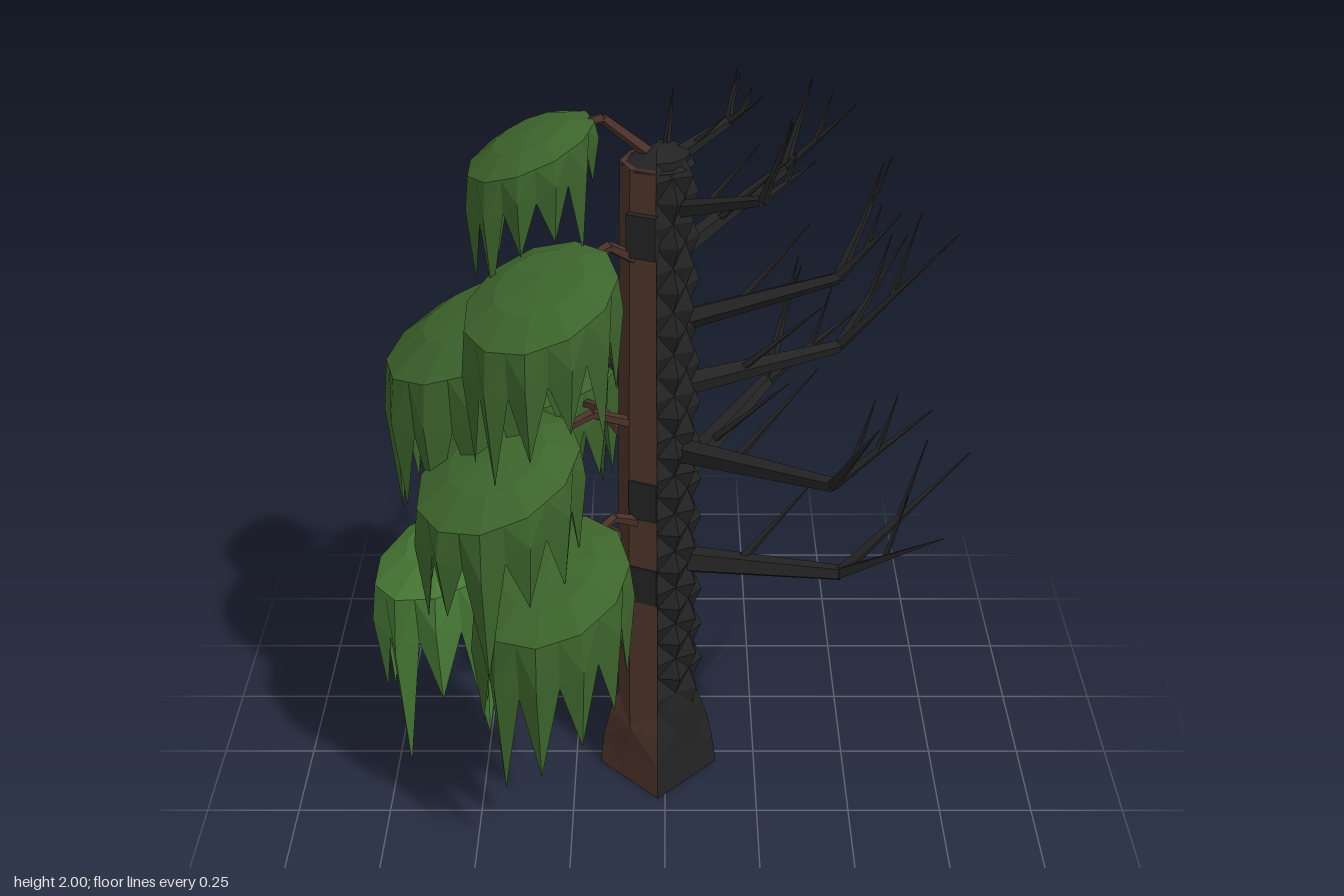
import * as THREE from 'three';

const mat = (name, color) => {
  const m = new THREE.MeshStandardMaterial({ color, flatShading: true, side: THREE.DoubleSide });
  m.name = name;
  return m;
};
const V = (x, y, z) => new THREE.Vector3(x, y, z);
const CX = -0.02, CZ = 0.04; // trunk axis

let seed = 7;
const rnd = () => (seed = (seed * 16807) % 2147483647) / 2147483647;

function soup(tris) {
  const g = new THREE.BufferGeometry().setFromPoints(tris);
  g.computeVertexNormals();
  return g;
}

// Half of the trunk: rings of points swept through 180 degrees
function halfShell(rings, from, n, radiusAt) {
  const p = (i, j) => {
    const a = from + (Math.PI * j) / n, r = radiusAt(rings[i], i, j, a);
    return V(CX + Math.cos(a) * r, rings[i][0], CZ + Math.sin(a) * r);
  };
  const t = [];
  for (let i = 0; i < rings.length - 1; i++) {
    for (let j = 0; j < n; j++) {
      const a = p(i, j), b = p(i, j + 1), c = p(i + 1, j), d = p(i + 1, j + 1);
      if ((i + j) % 2) t.push(a, c, b, b, c, d);
      else t.push(a, c, d, a, d, b);
    }
  }
  return soup(t);
}

// The foot spreads into a square set corner-on; the trunk above is round
const footRadius = (r, a) => {
  const square = r / (Math.abs(Math.cos(a)) + Math.abs(Math.sin(a)));
  return Math.max(Math.min(r, 0.108), square);
};

// Tapered limb piece between two points
function limb(a, b, r0, r1, sides = 5) {
  const d = b.clone().sub(a);
  const g = new THREE.CylinderGeometry(r1, r0, d.length(), sides);
  g.applyQuaternion(new THREE.Quaternion().setFromUnitVectors(V(0, 1, 0), d.normalize()));
  g.translate((a.x + b.x) / 2, (a.y + b.y) / 2, (a.z + b.z) / 2);
  return g;
}

// Drooping foliage: a shallow tilted dome with a pleated fringe of hanging points
function foliage(x, y, z, r, len, n) {
  const out = V(x - CX, 0, z - CZ).normalize();
  const at = (a, k, lift = 0) => {
    const dx = Math.cos(a) * r * k, dz = Math.sin(a) * r * k;
    return V(x + dx, y - 0.39 * (dx * out.x + dz * out.z) + lift, z + dz);
  };
  const step = (Math.PI * 2) / n, dome = [], fringe = [];
  const top = at(0, 0, r * 0.28);
  const lens = [];
  for (let i = 0; i < n; i++) {
    const outer = Math.cos(i * step) * out.x + Math.sin(i * step) * out.z;
    lens.push(len * (0.9 + 0.1 * outer) * (0.55 + 0.5 * rnd()));
  }
  for (let i = 0; i < n; i++) {
    const a = i * step, a1 = a + step, k = Math.cos(step / 2);
    const m0 = at(a, 0.6, r * 0.2), m1 = at(a1, 0.6, r * 0.2);
    const v = at(a, 1), v1 = at(a1, 1);
    dome.push(top, m1, m0, m0, m1, v1, m0, v1, v);
    const L = lens[i], La = lens[(i + n - 1) % n], Lb = lens[(i + 1) % n];
    const p = at(a - step / 2, k), q = at(a + step / 2, k);
    const ridge = at(a, 1.06, -L * 0.3);
    const sp = at(a - step / 2, k * 0.97, -Math.min(L, La) * 0.42);
    const sq = at(a + step / 2, k * 0.97, -Math.min(L, Lb) * 0.42);
    const tip = at(a, 0.95, -L), back = at(a, 0.82, -L * 0.4);
    fringe.push(p, v, ridge, v, q, ridge, p, ridge, sp, q, sq, ridge,
      sp, ridge, tip, ridge, sq, tip, sp, tip, back, back, tip, sq);
  }
  return soup([...dome, ...fringe]);
}

export function createModel() {
  const tree = new THREE.Group();
  tree.name = 'halfBurntTree';
  const char = mat('charcoal', 0x232323);
  const bark = mat('brown bark', 0x4b3229);
  const leafDark = mat('deep green', 0x3d652c);
  const leafLight = mat('bright green', 0x4a7f38);
  const add = (name, geo, m, parent = tree) => {
    const mesh = new THREE.Mesh(geo, m);
    mesh.name = name;
    parent.add(mesh);
    return mesh;
  };

  // Living side of the trunk, with a flared foot
  const foot = [[0, 0], [0, 0.162], [0.1, 0.15], [0.18, 0.133], [0.25, 0.108]];
  add('livingTrunk', halfShell([...foot, [1.0, 0.1], [1.81, 0.086], [1.82, 0]], Math.PI / 2, 4,
    (q, i, j, a) => (i < foot.length ? footRadius(q[1], a) : q[1])), bark);

  // Charred side: plain foot, then rows of jagged scales
  const scales = [];
  for (let i = 1; i <= 27; i++) scales.push([0.25 + i * 0.057, 0.11 - i * 0.0008]);
  const scaleEnd = foot.length + scales.length;
  add('charredTrunk', halfShell([...foot, ...scales, [1.83, 0.08], [1.85, 0]], -Math.PI / 2, 6,
    (q, i, j, a) => {
      if (i < foot.length) return footRadius(q[1], a);
      if (i >= scaleEnd) return q[1];
      return q[1] + ((i + j) % 2 ? 0.012 : -0.011);
    }), char);
  const lid = new THREE.ConeGeometry(0.088, 0.05, 9);
  lid.translate(CX + 0.005, 1.83, CZ);
  add('charredTop', lid, char);

  // Scorched patches lying almost flush on the living bark
  [[0.66, 1], [0.92, 1], [1.65, 1], [0.8, -1], [1.2, -1], [1.53, -1]].forEach(([y, s]) => {
    const g = new THREE.BoxGeometry(0.075, 0.11, 0.044);
    g.translate(0, 0, s * 0.077);
    g.rotateY(-s * 0.39);
    g.translate(CX, y, CZ);
    add('scorchPatch', g, char);
  });

  // Burnt branches: start height, elbow, two forked tips
  const branches = [
    [0.69, [0.45, 0.73, 0.17], [0.77, 1.05, 0.1], [0.68, 0.94, 0.33]],
    [0.9, [0.28, 1.0, -0.37], [0.37, 1.28, -0.58], [0.55, 1.2, -0.45]],
    [1.03, [0.4, 1.12, 0.37], [0.48, 1.37, 0.54], [0.62, 1.33, 0.38]],
    [1.2, [0.45, 1.22, -0.15], [0.63, 1.47, -0.3], [0.72, 1.58, -0.05]],
    [1.38, [0.42, 1.5, 0.03], [0.55, 1.76, -0.1], [0.56, 1.68, 0.06]],
    [1.55, [0.3, 1.67, -0.25], [0.37, 1.87, -0.36], [0.47, 1.85, -0.22]],
    [1.68, [0.22, 1.79, 0.24], [0.28, 2.0, 0.3], [0.34, 1.87, 0.2]],
    [1.8, [0.15, 1.87, -0.05], [0.17, 1.98, -0.1], [0.23, 1.95, 0.0]],
  ];
  branches.forEach(([y, e, t1, t2], i) => {
    const g = new THREE.Group();
    g.name = 'burntBranch' + (i + 1);
    tree.add(g);
    const a = V(CX + 0.02, y, CZ), b = V(...e), size = 1 - i * 0.06;
    add('bough', limb(a, b, 0.04 * size, 0.021 * size), char, g);
    [t1, t2].forEach((t) => {
      const tip = V(...t), mid = b.clone().lerp(tip, 0.45);
      add('fork', limb(b, tip, 0.018 * size, 0.001, 4), char, g);
      const span = tip.distanceTo(b);
      add('twig', limb(mid, mid.clone().add(V(0.15 * span, 0.45 * span, -0.12 * span)), 0.008, 0.0008, 4), char, g);
    });
    // Slanting twig partway along the bough
    const h = a.clone().lerp(b, 0.42), k = a.distanceTo(b);
    const s = i % 2 ? 1 : -1;
    add('sideTwig', limb(h, h.clone().add(V(0.4 * k, 0.43 * k, s * 0.14 * k)), 0.014 * size, 0.0008, 4), char, g);
  });
  add('topSpike', limb(V(0.0, 1.8, 0.0), V(0.02, 1.97, -0.01), 0.012, 0.0008, 4), char);

  // Foliage: x, rim height, z, radius, fringe length, points, colour
  const clumps = [
    [-0.31, 1.865, 0.09, 0.15, 0.33, 11, leafDark],
    [-0.285, 1.58, 0.3, 0.18, 0.4, 11, leafDark],
    [-0.45, 1.395, 0.08, 0.235, 0.44, 12, leafDark],
    [-0.43, 1.24, -0.12, 0.2, 0.42, 11, leafLight],
    [-0.4, 1.135, 0.33, 0.2, 0.44, 11, leafDark],
    [-0.37, 1.0, -0.3, 0.235, 0.5, 12, leafDark],
    [-0.28, 0.845, 0.37, 0.195, 0.46, 11, leafDark],
    [-0.545, 0.77, 0.1, 0.215, 0.58, 11, leafLight],
  ];
  clumps.forEach(([x, y, z, r, len, n, m], i) => {
    add('foliage' + (i + 1), foliage(x, y, z, r, len, n), m);
    // Thin living branch with an elbow, reaching under the clump
    const end = V(x, y + 0.02, z), start = V(CX, y - 0.05, CZ);
    const elbow = start.clone().lerp(end, 0.42);
    elbow.y = y + 0.1 * r + 0.04;
    add('livingBranch' + (i + 1), limb(start, elbow, 0.018, 0.013), bark);
    add('livingBranchEnd' + (i + 1), limb(elbow, end, 0.013, 0.009), bark);
  });
  return tree;
}
